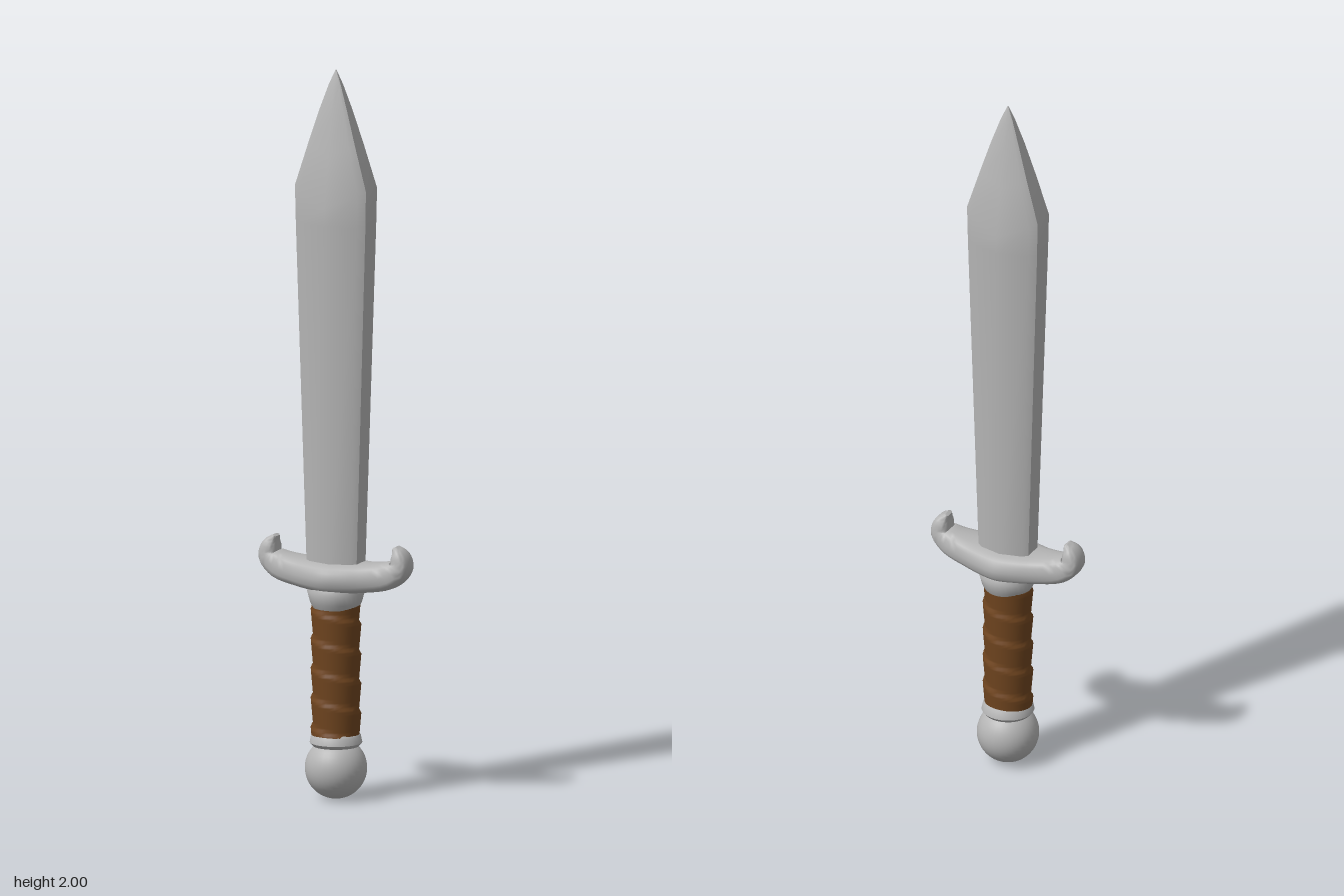
import * as THREE from 'three';
import { toCreasedNormals } from 'three/addons/utils/BufferGeometryUtils.js';

const steel = new THREE.MeshStandardMaterial({ color: 0xb5b5b5 });
steel.name = 'steel';
const leather = new THREE.MeshStandardMaterial({ color: 0x70451f });
leather.name = 'leather';

// Skins a list of closed rings (arrays of Vector3) and closes both ends.
function loft(rings, crease) {
  const n = rings[0].length;
  const pos = [];
  const index = [];
  rings.forEach((ring) => ring.forEach((p) => pos.push(p.x, p.y, p.z)));
  for (let r = 0; r < rings.length - 1; r++) {
    for (let i = 0; i < n; i++) {
      const a = r * n + i;
      const b = r * n + ((i + 1) % n);
      index.push(a, b, b + n, a, b + n, a + n);
    }
  }
  [0, rings.length - 1].forEach((r) => {
    const mid = new THREE.Vector3();
    rings[r].forEach((p) => mid.addScaledVector(p, 1 / n));
    const c = pos.length / 3;
    pos.push(mid.x, mid.y, mid.z);
    for (let i = 0; i < n; i++) {
      const a = r * n + i;
      const b = r * n + ((i + 1) % n);
      if (r === 0) index.push(c, b, a);
      else index.push(c, a, b);
    }
  });
  const geo = new THREE.BufferGeometry();
  geo.setAttribute('position', new THREE.Float32BufferAttribute(pos, 3));
  geo.setIndex(index);
  return toCreasedNormals(geo, crease);
}

// Ridged blade: height, half width, half edge thickness, half depth, ridge drop
function bladeGeometry() {
  const stations = [
    [0.6, 0.074, 0.026, 0.049, 0],
    [1.58, 0.105, 0.032, 0.068, 0],
    [1.68, 0.107, 0.033, 0.07, 0.05],
    [1.8, 0.07, 0.025, 0.046, 0.03],
    [1.89, 0.042, 0.016, 0.029, 0.015],
    [1.96, 0.018, 0.007, 0.013, 0.005],
    [2, 0.001, 0.0005, 0.001, 0],
  ];
  return loft(stations.map(([y, w, e, d, drop]) => {
    const b = 0.82 * w;
    const f = Math.min(1.4 * e, d);
    const k = y - drop * 0.25;
    return [
      [w, y, e], [w, y, -e], [b, k, -f], [0, y - drop, -d], [-b, k, -f],
      [-w, y, -e], [-w, y, e], [-b, k, f], [0, y - drop, d], [b, k, f],
    ].map((p) => new THREE.Vector3(...p));
  }), 0.7);
}

// Crossguard: rounded bar, widest in the middle, with upturned horns
function guardGeometry() {
  // x, y, half thickness, half depth for one half
  const half = [
    [0, 0.612, 0.042, 0.087],
    [0.05, 0.613, 0.041, 0.077],
    [0.1, 0.616, 0.039, 0.061],
    [0.165, 0.628, 0.037, 0.044],
    [0.197, 0.652, 0.028, 0.037],
    [0.193, 0.684, 0.02, 0.032],
    [0.18, 0.706, 0.005, 0.016],
  ];
  const mirrored = half.slice(1).reverse().map(([x, ...rest]) => [-x, ...rest]);
  const all = [...mirrored, ...half];
  const path = new THREE.CatmullRomCurve3(all.map((s) => new THREE.Vector3(s[0], s[1], 0)));
  const size = new THREE.CatmullRomCurve3(all.map((s) => new THREE.Vector3(s[2], s[3], 0)), false, 'catmullrom');
  const soften = (v) => Math.sign(v) * Math.abs(v) ** 0.65;
  const rings = [];
  const steps = 48;
  const sides = 20;
  for (let s = 0; s <= steps; s++) {
    const p = path.getPoint(s / steps);
    const t = path.getTangent(s / steps);
    const r = size.getPoint(s / steps);
    const ring = [];
    for (let i = 0; i < sides; i++) {
      const a = (i / sides) * Math.PI * 2;
      const h = soften(Math.cos(a)) * r.x;
      ring.push(new THREE.Vector3(p.x - t.y * h, p.y + t.x * h, soften(Math.sin(a)) * r.y));
    }
    rings.push(ring);
  }
  return loft(rings, 0.9);
}

// Grip: spiral strap whose overlapping edge makes a small step
function gripGeometry() {
  const rings = [];
  const y0 = 0.17;
  const y1 = 0.535;
  const turns = 4.5;
  const rows = 72;
  const sides = 32;
  for (let r = 0; r <= rows; r++) {
    const v = r / rows;
    const ring = [];
    for (let i = 0; i < sides; i++) {
      const u = i / sides;
      const a = u * Math.PI * 2;
      const phase = v * turns + u + 10;
      const step = phase - Math.floor(phase);
      const radius = 0.061 + 0.007 * Math.min(step, (1 - step) * 8);
      ring.push(new THREE.Vector3(Math.cos(a) * radius * 1.03, y0 + v * (y1 - y0), -Math.sin(a) * radius * 0.97));
    }
    rings.push(ring);
  }
  return loft(rings, 0.8);
}

// Turned ring with rounded edges
function collarGeometry(y0, y1, rBottom, rTop) {
  const m = (y1 - y0) * 0.25;
  const profile = [
    [0, y0], [rBottom - 0.008, y0], [rBottom, y0 + m],
    [rTop, y1 - m], [rTop - 0.008, y1], [0, y1],
  ].map((p) => new THREE.Vector2(...p));
  return toCreasedNormals(new THREE.LatheGeometry(profile, 32), 0.9);
}

export function createModel() {
  const group = new THREE.Group();
  group.name = 'sword';
  const add = (name, geometry, material) => {
    const mesh = new THREE.Mesh(geometry, material);
    mesh.name = name;
    group.add(mesh);
    return mesh;
  };

  add('blade', bladeGeometry(), steel);
  add('crossguard', guardGeometry(), steel);
  add('upperCollar', collarGeometry(0.525, 0.585, 0.07, 0.078), steel);
  add('grip', gripGeometry(), leather);
  add('lowerCollar', collarGeometry(0.145, 0.183, 0.071, 0.067), steel);

  // Round pommel
  const pommel = add('pommel', new THREE.SphereGeometry(0.084, 32, 24), steel);
  pommel.position.y = 0.084;

  return group;
}
